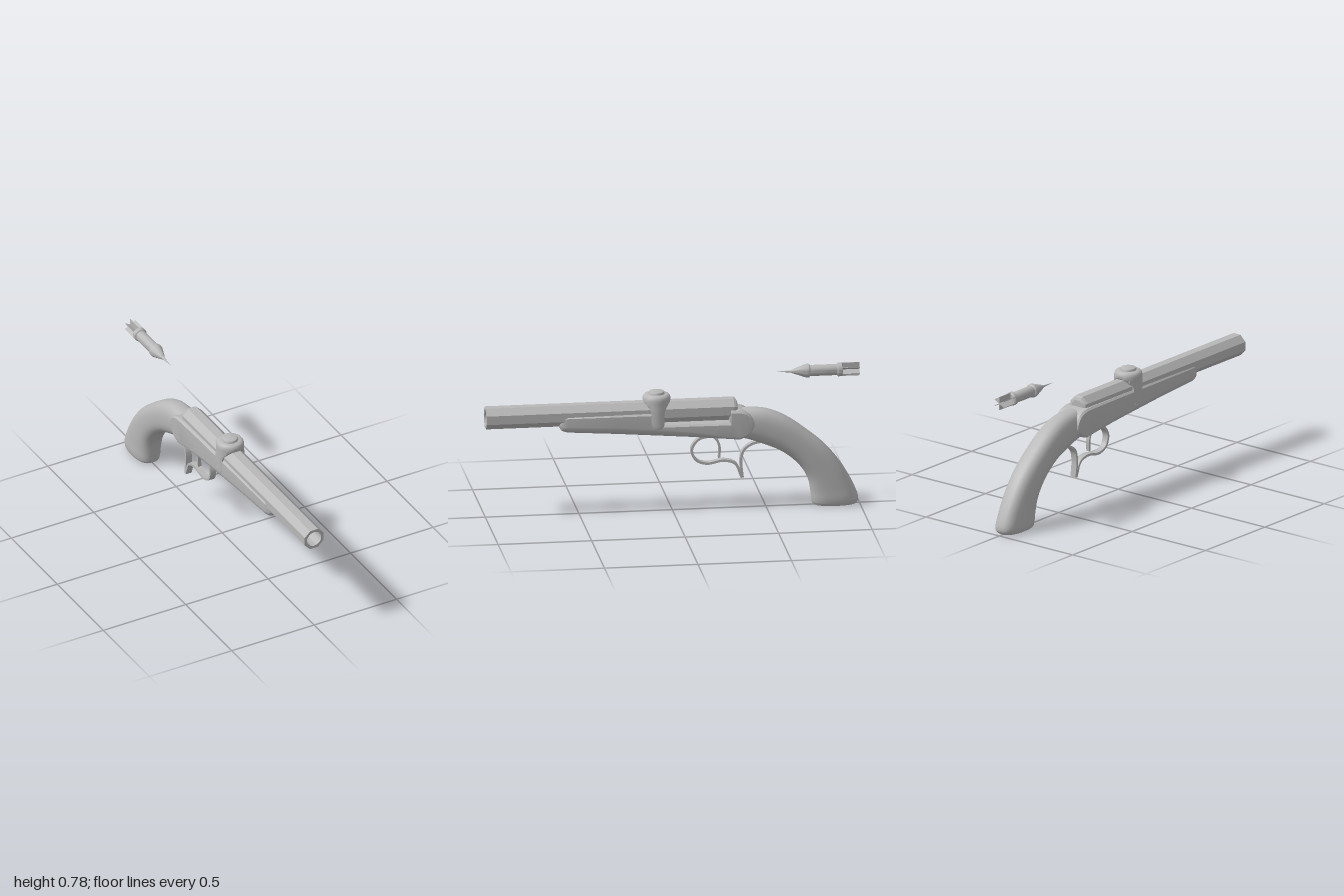
import * as THREE from 'three';
import { toCreasedNormals } from 'three/addons/utils/BufferGeometryUtils.js';

const V = (x, y, z) => new THREE.Vector3(x, y, z);
const grey = new THREE.MeshStandardMaterial({ color: 0xb8b8b8 });
grey.name = 'plain grey';

// Skin a list of equal-length loops and close both ends
function loft(loops, crease = 0.6) {
  const n = loops[0].length, pos = [], idx = [];
  loops.forEach(l => l.forEach(p => pos.push(p.x, p.y, p.z)));
  for (let i = 0; i < loops.length - 1; i++) {
    for (let j = 0; j < n; j++) {
      const a = i * n + j, b = i * n + (j + 1) % n;
      idx.push(a, b, a + n, b, b + n, a + n);
    }
  }
  [0, loops.length - 1].forEach((i, end) => {
    const c = loops[i].reduce((s, p) => s.add(p), V(0, 0, 0)).divideScalar(n);
    const k = pos.length / 3;
    pos.push(c.x, c.y, c.z);
    for (let j = 0; j < n; j++) {
      const a = i * n + j, b = i * n + (j + 1) % n;
      end ? idx.push(k, a, b) : idx.push(k, b, a);
    }
  });
  // A negative volume means the skin is inside out
  const at = i => V(pos[3 * i], pos[3 * i + 1], pos[3 * i + 2]);
  let volume = 0;
  for (let i = 0; i < idx.length; i += 3) volume += at(idx[i]).dot(at(idx[i + 1]).cross(at(idx[i + 2])));
  if (volume < 0) idx.reverse();
  const g = new THREE.BufferGeometry();
  g.setAttribute('position', new THREE.Float32BufferAttribute(pos, 3));
  g.setIndex(idx);
  return toCreasedNormals(g, crease);
}

// Flat strip of constant width following a path of [z, y] points
function ribbon(points, halfWidth, thickness) {
  const curve = new THREE.CatmullRomCurve3(points.map(([z, y]) => V(0, y, z)));
  const loops = [];
  for (let i = 0; i <= 32; i++) {
    const p = curve.getPoint(i / 32), t = curve.getTangent(i / 32);
    const side = V(0, -t.z, t.y).multiplyScalar(thickness / 2);
    loops.push([[1, 1], [-1, 1], [-1, -1], [1, -1]].map(([sx, s]) =>
      p.clone().addScaledVector(side, s).add(V(sx * halfWidth, 0, 0))));
  }
  return loft(loops);
}

const octagon = (apothem, y, z) => Array.from({ length: 8 }, (_, i) => {
  const a = (i + 0.5) * Math.PI / 4, r = apothem / Math.cos(Math.PI / 8);
  return V(r * Math.cos(a), y + r * Math.sin(a), z);
});

// Stock section: rounded belly, with a separate top height for each side
function stockLoop([z, w, top, bottom, r, topLeft = top]) {
  const e = 0.01, loop = [V(w, topLeft - e, z), V(w - e, topLeft, z), V(0.005, topLeft, z),
    V(0.005, top, z), V(-w + e, top, z), V(-w, top - e, z)];
  for (const s of [-1, 1]) {
    for (let i = 0; i <= 6; i++) {
      const a = (s < 0 ? i : 6 - i) / 6 * Math.PI / 2;
      loop.push(V(s * (w - r + r * Math.cos(a)), bottom + r - r * Math.sin(a), z));
    }
  }
  return loop;
}

export function createModel() {
  const model = new THREE.Group();
  const add = (name, geometry, parent = model) => {
    const m = new THREE.Mesh(geometry, grey);
    m.name = name;
    parent.add(m);
    return m;
  };
  const axisY = 0.553;

  // Octagonal barrel with a round bore, closed by a tapered breech
  const outline = new THREE.Shape(octagon(0.057, 0, 0).map(p => new THREE.Vector2(p.x, p.y)));
  outline.holes.push(new THREE.Path().absarc(0, 0, 0.043, 0, Math.PI * 2, true));
  const barrel = new THREE.ExtrudeGeometry(outline, { depth: 1.3, bevelEnabled: false, curveSegments: 16 });
  barrel.translate(0, axisY, -0.3);
  add('barrel', toCreasedNormals(barrel, 0.5));
  add('breech', loft([octagon(0.057, axisY, -0.3), octagon(0.057, axisY, -0.325),
    octagon(0.051, axisY, -0.338), octagon(0.036, axisY, -0.345)], 0.4));

  // Stock with the loading slot cut into its left side
  const ledge = 0.49;
  add('stock', loft([
    [0.607, 0.04, 0.53, 0.49, 0.015], [0.595, 0.053, 0.547, 0.472, 0.03],
    [0.565, 0.062, 0.556, 0.462, 0.04], [0.3, 0.065, 0.556, 0.443, 0.045],
    [0.086, 0.068, 0.556, 0.427, 0.042], [0.086, 0.068, 0.556, 0.427, 0.042, ledge],
    [-0.1, 0.07, 0.556, 0.414, 0.035, ledge], [-0.305, 0.075, 0.556, 0.399, 0.02, ledge],
    [-0.305, 0.075, 0.556, 0.399, 0.02], [-0.35, 0.078, 0.556, 0.396, 0.015],
    [-0.385, 0.078, 0.547, 0.408, 0.015], [-0.41, 0.078, 0.53, 0.428, 0.015],
    [-0.425, 0.078, 0.505, 0.455, 0.012], [-0.429, 0.077, 0.49, 0.468, 0.008],
  ].map(stockLoop)));

  // Curved grip: back and front edges as [half width, y, z] and [y, z]
  const back = new THREE.CatmullRomCurve3([
    [0.06, 0.54, -0.3], [0.066, 0.552, -0.4], [0.068, 0.543, -0.5], [0.07, 0.502, -0.6], [0.071, 0.417, -0.72],
    [0.072, 0.33, -0.82], [0.072, 0.23, -0.9], [0.072, 0.115, -0.965], [0.072, 0.035, -0.993],
    [0.066, 0.011, -0.985], [0.052, 0.003, -0.965]].map(p => V(...p)));
  const front = new THREE.CatmullRomCurve3([
    [0.405, -0.3], [0.383, -0.4], [0.35, -0.49], [0.315, -0.57], [0.265, -0.64], [0.21, -0.69],
    [0.15, -0.723], [0.085, -0.737], [0.035, -0.743], [0.011, -0.75], [0.003, -0.77]].map(p => V(0, ...p)));
  const gripLoops = [];
  for (let i = 0; i <= 50; i++) {
    const b = back.getPoint(i / 50), f = front.getPoint(i / 50), w = b.x;
    b.x = 0;
    const mid = b.clone().add(f).multiplyScalar(0.5), half = b.clone().sub(mid);
    gripLoops.push(Array.from({ length: 32 }, (_, j) => {
      const a = j / 32 * Math.PI * 2, soft = v => Math.sign(v) * Math.abs(v) ** 0.78;
      return mid.clone().addScaledVector(half, soft(Math.sin(a))).add(V(w * soft(Math.cos(a)), 0, 0));
    }));
  }
  add('grip', loft(gripLoops, 0.8));

  // Round clamp over the barrel: a drum narrowing to a tab on each side, as [y, radius, half depth]
  const clamp = [[0.47, 0.075, 0.012], [0.476, 0.076, 0.024], [0.49, 0.076, 0.033], [0.51, 0.076, 0.035],
    [0.56, 0.076, 0.035], [0.58, 0.076, 0.042], [0.595, 0.075, 0.055], [0.612, 0.075, 0.07],
    [0.625, 0.075, 0.075], [0.638, 0.073, 0.073], [0.647, 0.066, 0.066], [0.651, 0.055, 0.055]];
  add('clamp', loft(clamp.map(([y, r, d]) => Array.from({ length: 40 }, (_, j) => {
    const a = j / 40 * Math.PI * 2;
    return V(r * Math.cos(a), y, 0.085 + THREE.MathUtils.clamp(r * Math.sin(a), -d, d));
  }))));
  const lathe = (points, sides) => toCreasedNormals(
    new THREE.LatheGeometry(points.map(p => new THREE.Vector2(...p)), sides), 0.6);
  add('clampCap', lathe([[0.044, 0.645], [0.044, 0.656], [0.04, 0.663], [0.032, 0.666], [0, 0.666]], 24))
    .position.z = 0.085;

  // Trigger guard with its rear spur, and the trigger
  add('triggerGuard', ribbon([[-0.193, 0.405], [-0.139, 0.39], [-0.103, 0.337], [-0.123, 0.278], [-0.182, 0.255],
    [-0.273, 0.268], [-0.335, 0.248], [-0.37, 0.17]], 0.0175, 0.013));
  add('guardSpur', ribbon([[-0.374, 0.17], [-0.366, 0.267], [-0.38, 0.32], [-0.42, 0.352], [-0.47, 0.365]], 0.0175, 0.013));
  add('trigger', ribbon([[-0.25, 0.283], [-0.251, 0.345], [-0.235, 0.385], [-0.2, 0.41]], 0.01, 0.012));

  // Dart floating above the grip, pointing forward
  const dart = new THREE.Group();
  dart.name = 'dart';
  dart.position.y = 0.743;
  model.add(dart);
  const dartBody = lathe([[0, -0.91], [0.03, -0.91], [0.037, -0.905], [0.037, -0.885], [0.03, -0.88], [0.03, -0.735],
    [0.037, -0.73], [0.037, -0.715], [0.012, -0.645], [0.008, -0.638], [0.005, -0.62], [0, -0.55]], 14);
  add('dartBody', dartBody.rotateX(Math.PI / 2), dart);
  for (let i = 0; i < 3; i++) {
    const fin = add('dartFin', new THREE.BoxGeometry(0.003, 0.073, 0.1), dart);
    fin.position.z = -0.95;
    fin.rotation.z = i * Math.PI / 3;
  }
  return model;
}
